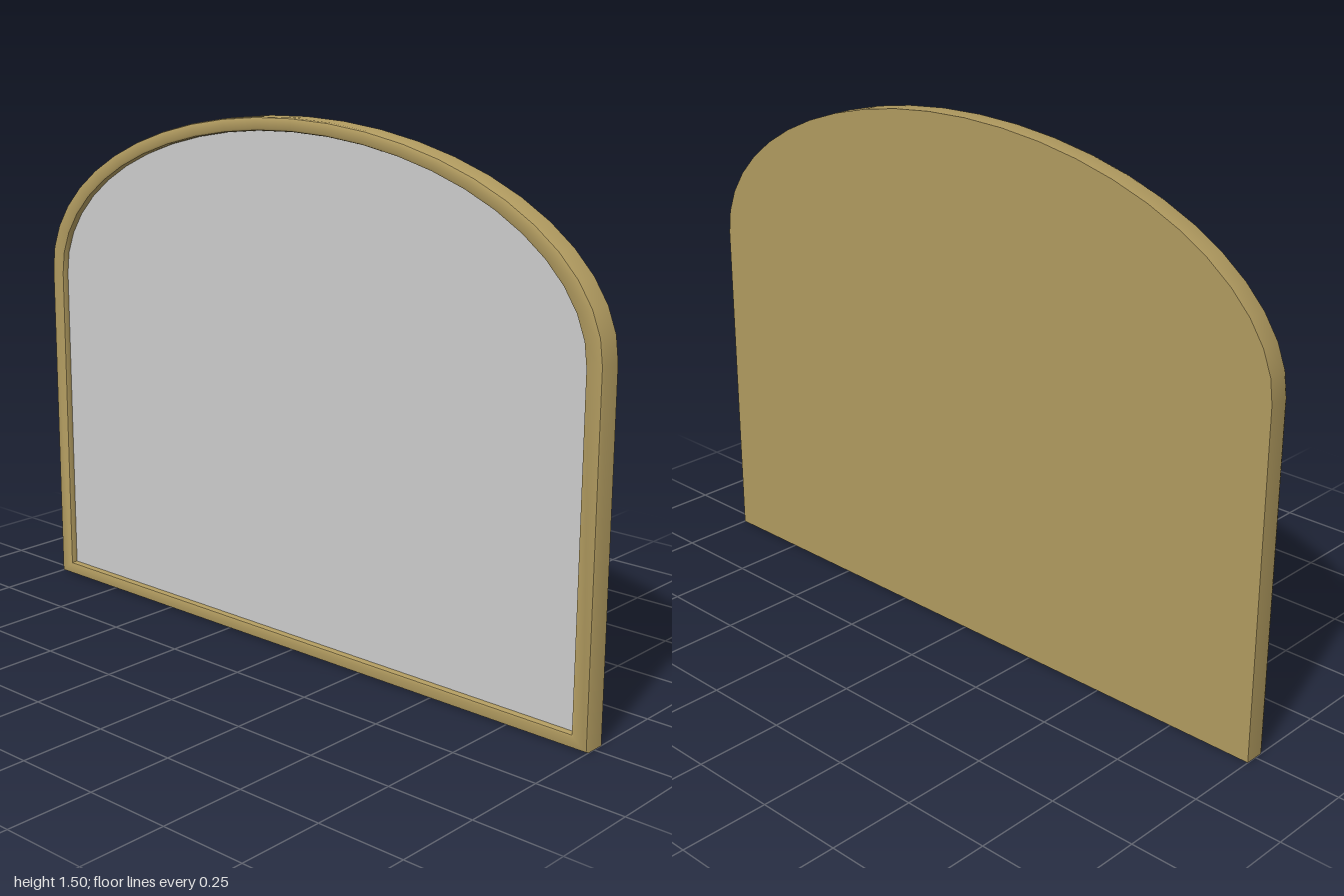
import * as THREE from 'three';
import { toCreasedNormals } from 'three/addons/utils/BufferGeometryUtils.js';

const HEIGHT = 1.505, SPRING = 0.985, BACK = -0.033, FRONT = 0.033, GLASS = 0.013;

// Arched outline, anticlockwise from the bottom left corner
function archOutline() {
  const pts = [new THREE.Vector2(-1, 0), new THREE.Vector2(1, 0)];
  const steps = 24;
  for (let i = 0; i <= steps; i++) {
    const a = (Math.PI * i) / steps;
    pts.push(new THREE.Vector2(Math.cos(a), SPRING + (HEIGHT - SPRING) * Math.sin(a)));
  }
  return pts;
}

// The same outline shrunk about its middle
function shrink(pts, s) {
  const mid = HEIGHT / 2;
  return pts.map((p) => new THREE.Vector2(p.x * s, mid + (p.y - mid) * s));
}

// Joins outlines of [scale, z] into a band
function sweepBand(outline, profile) {
  const n = outline.length, pos = [], index = [];
  for (const [s, z] of profile) {
    for (const p of shrink(outline, s)) pos.push(p.x, p.y, z);
  }
  for (let r = 0; r < profile.length - 1; r++) {
    for (let i = 0; i < n; i++) {
      const j = (i + 1) % n;
      const a = r * n + i, b = r * n + j, c = a + n, d = b + n;
      index.push(a, b, d, a, d, c);
    }
  }
  const geo = new THREE.BufferGeometry();
  geo.setAttribute('position', new THREE.Float32BufferAttribute(pos, 3));
  geo.setIndex(index);
  return toCreasedNormals(geo, 0.7);
}

export function createModel() {
  const group = new THREE.Group();
  group.name = 'archedMirror';
  const bronze = new THREE.MeshStandardMaterial({ color: 0xb09a5f });
  const grey = new THREE.MeshStandardMaterial({ color: 0xcccccc });
  const outline = archOutline();

  const add = (name, geometry, material) => {
    const mesh = new THREE.Mesh(geometry, material);
    mesh.name = name;
    group.add(mesh);
    return mesh;
  };

  // Frame moulding: outer wall, rounded front, inner wall down to the glass
  const profile = [
    [1, BACK], [1, FRONT - 0.01], [0.997, FRONT - 0.003], [0.99, FRONT],
    [0.96, FRONT], [0.953, FRONT - 0.003], [0.95, FRONT - 0.01], [0.95, GLASS],
  ];
  add('frame', sweepBand(outline, profile), bronze);

  // Mirror glass set into the frame
  const glass = add('mirrorGlass', new THREE.ShapeGeometry(new THREE.Shape(shrink(outline, 0.95))), grey);
  glass.position.z = GLASS;

  // Flat back panel, facing -z
  const back = add('backPanel', new THREE.ShapeGeometry(new THREE.Shape(outline)), bronze);
  back.rotation.y = Math.PI;
  back.position.z = BACK;

  return group;
}
